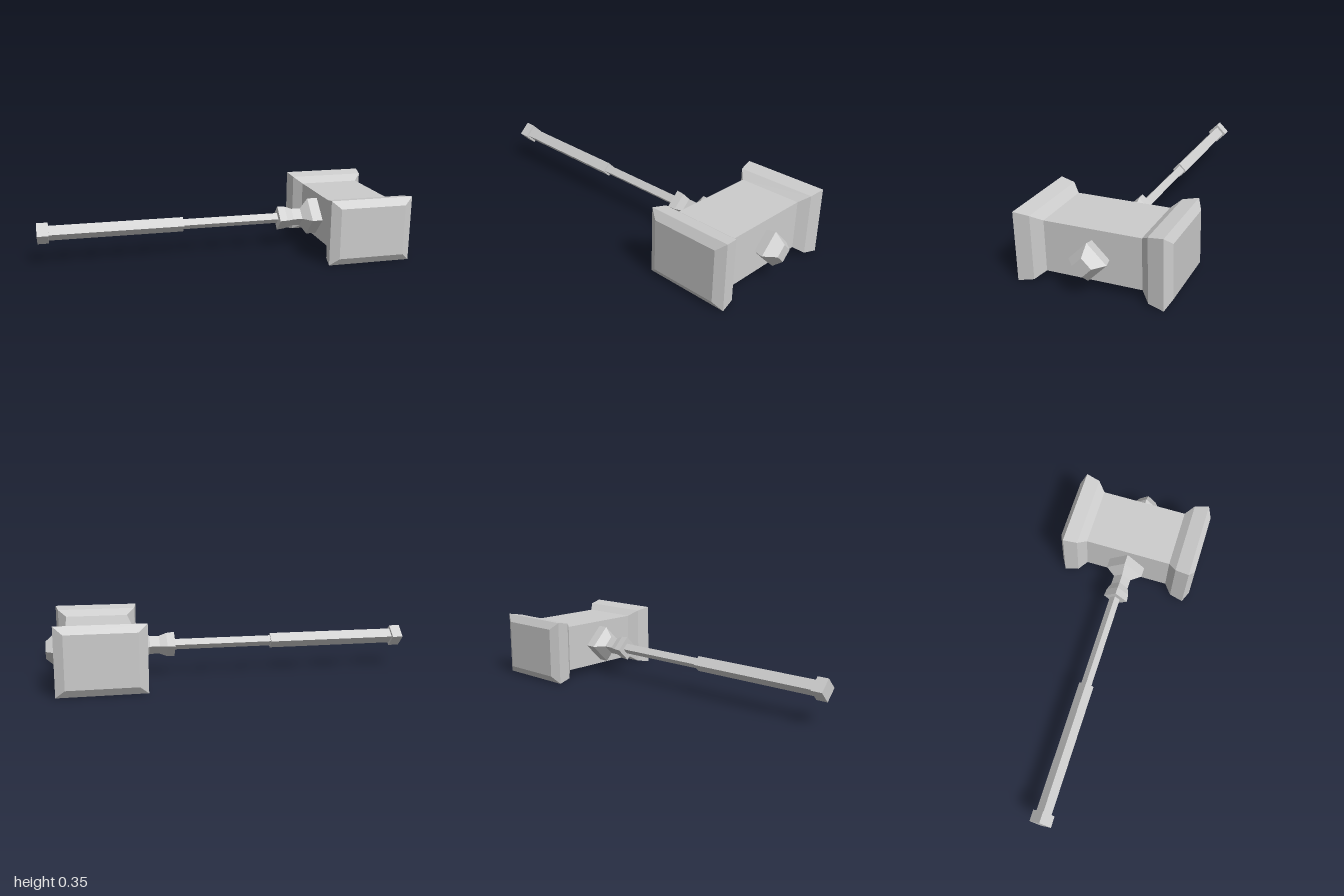
import * as THREE from 'three';

// Skin a list of four-cornered rings, with flat ends
function loft(rings) {
  const pos = [];
  const quad = (a, b, c, d) => [a, b, c, a, c, d].forEach(p => pos.push(...p));
  for (let i = 0; i < rings.length - 1; i++) {
    for (let j = 0; j < 4; j++) {
      const k = (j + 1) % 4;
      quad(rings[i][j], rings[i][k], rings[i + 1][k], rings[i + 1][j]);
    }
  }
  const first = rings[0];
  quad(first[3], first[2], first[1], first[0]);
  quad(...rings[rings.length - 1]);
  const geometry = new THREE.BufferGeometry();
  geometry.setAttribute('position', new THREE.Float32BufferAttribute(pos, 3));
  geometry.computeVertexNormals();
  return geometry;
}

// Diamond section along x: [x, radius]
const diamond = (profile, y, z = 0) => loft(profile.map(([x, r]) =>
  [[x, y + r, z], [x, y, z + r], [x, y - r, z], [x, y, z - r]]));

// Rectangular section along z: [z, half width, half height]
const block = (profile, x, y) => loft(profile.map(([z, w, h]) =>
  [[x + w, y - h, z], [x + w, y + h, z], [x - w, y + h, z], [x - w, y - h, z]]));

export function createModel() {
  const model = new THREE.Group();
  model.name = 'warHammer';
  const steel = new THREE.MeshStandardMaterial({ color: 0xcccccc, flatShading: true });
  steel.name = 'pale grey';

  const add = (name, geometry) => {
    const mesh = new THREE.Mesh(geometry, steel);
    mesh.name = name;
    model.add(mesh);
  };

  // Head: plain block with a flared, bevelled striking face at each end
  const face = [[0.242, 0.169, 0.129], [0.287, 0.213, 0.162], [0.365, 0.227, 0.176], [0.392, 0.18, 0.136]];
  const back = face.map(([z, w, h]) => [-z, w, h]).reverse();
  add('head', block([...back, ...face], 0.7235, 0.179));

  // Handle parts, from the butt to the head
  add('pommel', diamond([[-1, 0.058], [-0.94, 0.058]], 0.176, -0.002));
  add('grip', diamond([[-0.94, 0.041], [-0.22, 0.041]], 0.175, -0.002));
  add('shaft', diamond([[-0.22, 0.029], [0.34, 0.029]], 0.175, -0.003));
  add('collar', diamond([[0.32, 0.068], [0.363, 0.064], [0.403, 0.049], [0.455, 0.049],
    [0.497, 0.104], [0.56, 0.104]], 0.175));

  // Stud where the handle comes through the head
  add('endStud', diamond([[0.89, 0.083], [0.945, 0.095], [1, 0.047]], 0.17));

  return model;
}
